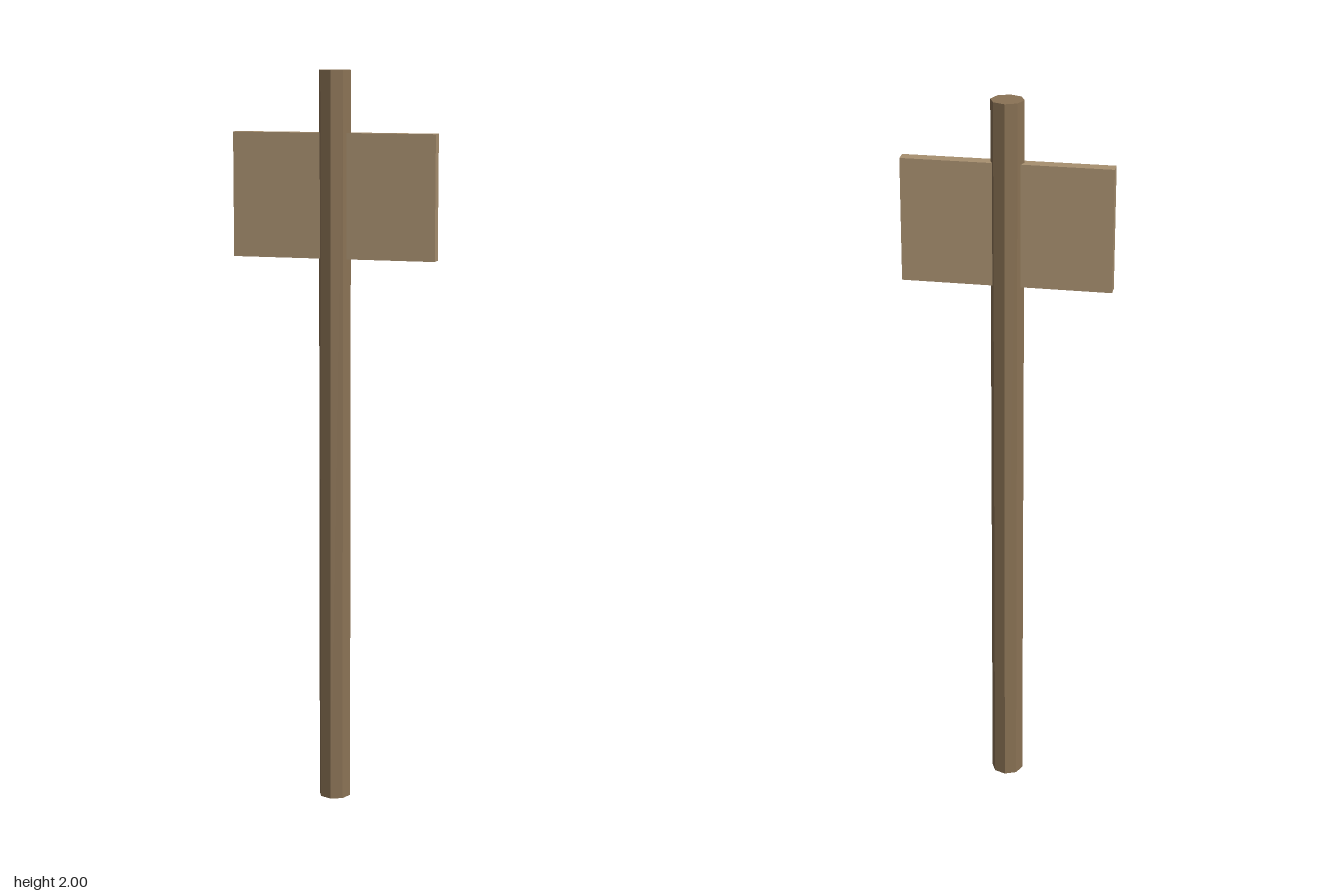
import * as THREE from 'three';

const POST_HEIGHT = 2;
const POST_RADIUS = 0.044;

function addPart(group, name, geometry, color, y) {
  const material = new THREE.MeshStandardMaterial({ color, flatShading: true });
  const mesh = new THREE.Mesh(geometry, material);
  mesh.name = name;
  mesh.position.y = y;
  group.add(mesh);
}

export function createModel() {
  const group = new THREE.Group();
  group.name = 'signpost';

  // Eight-sided wooden post
  addPart(group, 'post',
    new THREE.CylinderGeometry(POST_RADIUS, POST_RADIUS, POST_HEIGHT, 8),
    0x8b7355, POST_HEIGHT / 2);

  // Blank board running through the post near its top
  addPart(group, 'signBoard',
    new THREE.BoxGeometry(0.556, 0.333, 0.034),
    0xa89070, 1.67);

  return group;
}
